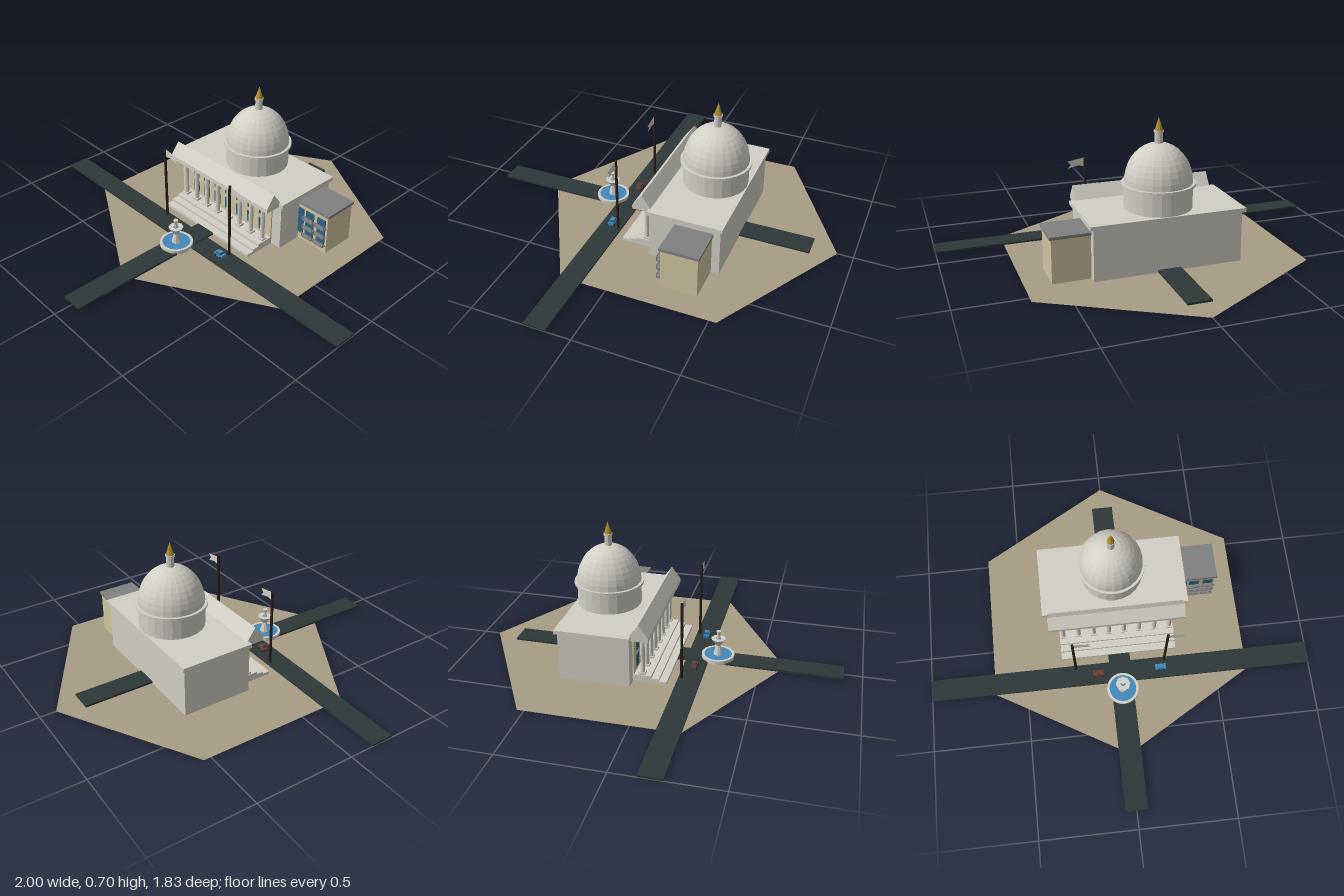
import * as THREE from 'three';

const mat = (name, color, opts = {}) => {
  const m = new THREE.MeshStandardMaterial({ color, flatShading: true, ...opts });
  m.name = name;
  return m;
};

export function createModel() {
  const model = new THREE.Group();
  model.name = 'domedCourthouse';
  const M = {
    ground: mat('ground', 0xa89c84, { side: THREE.DoubleSide }),
    road: mat('asphalt', 0x2e3838),
    stone: mat('stone', 0xd2cfc5, { side: THREE.DoubleSide }),
    plaster: mat('plaster', 0xd0c5a2),
    roof: mat('roofGrey', 0x808080),
    glass: mat('glass', 0x2f5f80),
    blue: mat('blue', 0x3f88bd),
    gold: mat('gold', 0xb8902c),
    pole: mat('darkWood', 0x2c1f18),
    red: mat('redPaint', 0x6e3a2c),
  };

  const add = (name, geo, m, x = 0, y = 0, z = 0, parent = model) => {
    const mesh = new THREE.Mesh(geo, m);
    mesh.name = name;
    mesh.position.set(x, y, z);
    parent.add(mesh);
    return mesh;
  };
  // Box given by its extents on each axis
  const box = (name, m, [x0, x1], [y0, y1], [z0, z1], parent) =>
    add(name, new THREE.BoxGeometry(x1 - x0, y1 - y0, z1 - z0), m,
      (x0 + x1) / 2, (y0 + y1) / 2, (z0 + z1) / 2, parent);
  // Upright cylinder given by its bottom and top heights
  const cyl = (name, m, rTop, rBot, y0, y1, x, z, sides = 16, parent) =>
    add(name, new THREE.CylinderGeometry(rTop, rBot, y1 - y0, sides), m, x, (y0 + y1) / 2, z, parent);
  const group = (name) => {
    const g = new THREE.Group();
    g.name = name;
    model.add(g);
    return g;
  };

  // Hexagonal ground and crossing roads
  const ground = add('ground', new THREE.CircleGeometry(0.77, 6, Math.PI / 6), M.ground, 0, 0, -0.15);
  ground.rotation.x = -Math.PI / 2;
  box('crossRoad', M.road, [-1, 1], [0.001, 0.01], [0.125, 0.237]);
  box('mainRoad', M.road, [-0.057, 0.057], [0.005, 0.015], [-0.795, 0.908]);

  // Main hall with overhanging roof slab
  box('hall', M.stone, [-0.362, 0.362], [0.002, 0.25], [-0.44, -0.085]);
  box('hallRoof', M.stone, [-0.377, 0.377], [0.25, 0.27], [-0.452, -0.08]);
  box('facade', M.plaster, [-0.305, 0.305], [0.03, 0.25], [-0.086, -0.078]);

  // Portico roof: gabled profile extruded along x
  const gable = new THREE.Shape([[-0.005, 0.247], [0.088, 0.247], [0.088, 0.27], [0.043, 0.333], [-0.005, 0.27]]
    .map(([a, b]) => new THREE.Vector2(a, b)));
  const gableGeo = new THREE.ExtrudeGeometry(gable, { depth: 0.7, bevelEnabled: false });
  gableGeo.rotateY(Math.PI / 2);
  add('porticoRoof', gableGeo, M.stone, -0.35, 0, 0);

  // Front steps
  [0.083, 0.045, 0.007].forEach((front, i) =>
    box('step', M.stone, [-0.305, 0.305], [0.002, 0.016 + i * 0.012], [-0.085, front]));

  // Columns, with windows in the bays between them
  const columns = group('colonnade');
  const pitch = 0.081;
  for (let i = 0; i < 8; i++) {
    const x = (i - 3.5) * pitch;
    cyl('column', M.stone, 0.011, 0.012, 0.04, 0.247, x, -0.04, 10, columns);
    box('columnBase', M.stone, [x - 0.016, x + 0.016], [0.04, 0.05], [-0.056, -0.024], columns);
    box('columnCapital', M.stone, [x - 0.016, x + 0.016], [0.236, 0.248], [-0.056, -0.024], columns);
    if (i === 7) continue;
    const wx = x + pitch / 2;
    for (const [y0, y1] of [[0.06, 0.125], [0.15, 0.215]])
      box('hallWindow', M.glass, [wx - 0.02, wx + 0.02], [y0, y1], [-0.08, -0.074], columns);
  }

  // Dome: drum, ring, stretched hemisphere, lantern and spire
  const dome = group('dome');
  const dz = -0.286;
  cyl('drum', M.stone, 0.162, 0.162, 0.268, 0.385, 0, dz, 24, dome);
  cyl('domeRing', M.stone, 0.175, 0.175, 0.378, 0.39, 0, dz, 32, dome);
  add('domeShell', new THREE.SphereGeometry(0.162, 24, 10, 0, Math.PI * 2, 0, Math.PI / 2),
    M.stone, 0, 0.388, dz, dome).scale.y = 1.17;
  cyl('lantern', M.stone, 0.019, 0.019, 0.57, 0.63, 0, dz, 10, dome);
  cyl('lanternCap', M.stone, 0.023, 0.023, 0.627, 0.636, 0, dz, 10, dome);
  add('spire', new THREE.ConeGeometry(0.02, 0.065, 8), M.gold, 0, 0.668, dz, dome);

  // Side annex with windows and balconies
  const annex = group('annex');
  box('annexBody', M.plaster, [0.355, 0.545], [0.002, 0.213], [-0.4, -0.22], annex);
  box('annexRoof', M.roof, [0.355, 0.553], [0.213, 0.227], [-0.407, -0.214], annex);
  for (const y of [0.045, 0.095, 0.145]) {
    for (const x of [0.37, 0.435, 0.508])
      box('annexWindow', M.glass, [x - 0.026, x + 0.026], [y - 0.002, y + 0.045], [-0.222, -0.216], annex);
    for (const x of [0.435, 0.508]) {
      box('balconyFloor', M.roof, [x - 0.032, x + 0.032], [y - 0.004, y + 0.003], [-0.22, -0.197], annex);
      box('balconyRail', M.roof, [x - 0.032, x + 0.032], [y + 0.016, y + 0.021], [-0.201, -0.197], annex);
      for (const s of [-1, 1])
        box('railPost', M.roof, [x + s * 0.03 - 0.002, x + s * 0.03 + 0.002], [y, y + 0.02], [-0.201, -0.197], annex);
    }
  }

  // Flagpoles with swallowtail flags
  const flag = new THREE.Shape([[0, 0.365], [0.035, 0.372], [0.09, 0.36], [0.073, 0.38], [0.092, 0.397],
    [0.035, 0.407], [0, 0.412]].map(([a, b]) => new THREE.Vector2(a, b)));
  for (const x of [-0.235, 0.235]) {
    cyl('flagpole', M.pole, 0.007, 0.007, 0.002, 0.413, x, 0.141, 8);
    add('flag', new THREE.ShapeGeometry(flag), M.stone, x, 0, 0.141);
  }

  // Tiered fountain
  const fountain = group('fountain');
  const fz = 0.28;
  cyl('basinFoot', M.stone, 0.074, 0.074, 0.008, 0.022, 0, fz, 24, fountain);
  const rim = [[0.072, 0.02], [0.083, 0.02], [0.083, 0.036], [0.07, 0.036], [0.07, 0.03]]
    .map(([r, y]) => new THREE.Vector2(r, y));
  add('basinRim', new THREE.LatheGeometry(rim, 24), M.stone, 0, 0, fz, fountain);
  cyl('water', M.blue, 0.071, 0.071, 0.024, 0.034, 0, fz, 24, fountain);
  cyl('pedestal', M.stone, 0.011, 0.025, 0.03, 0.085, 0, fz, 8, fountain);
  cyl('bowl', M.stone, 0.038, 0.011, 0.083, 0.122, 0, fz, 8, fountain);
  cyl('bowlWater', M.blue, 0.013, 0.013, 0.12, 0.1225, 0, fz, 8, fountain);
  cyl('nozzleStem', M.stone, 0.008, 0.008, 0.12, 0.148, 0, fz, 8, fountain);
  cyl('nozzle', M.stone, 0.013, 0.008, 0.146, 0.163, 0, fz, 8, fountain);

  // Cars on the cross road
  for (const [x, paint] of [[-0.12, M.red], [0.212, M.blue]]) {
    const car = group('car');
    box('carBody', paint, [x - 0.028, x + 0.028], [0.014, 0.028], [0.167, 0.197], car);
    box('carCabin', M.glass, [x - 0.015, x + 0.015], [0.028, 0.037], [0.17, 0.194], car);
    box('carRoof', paint, [x - 0.014, x + 0.014], [0.037, 0.04], [0.171, 0.193], car);
    for (const wx of [-0.017, 0.017]) for (const wz of [0.168, 0.196]) {
      const wheel = cyl('wheel', M.pole, 0.006, 0.006, 0.0135, 0.0175, x + wx, wz, 10, car);
      wheel.rotation.x = Math.PI / 2;
    }
  }

  return model;
}
